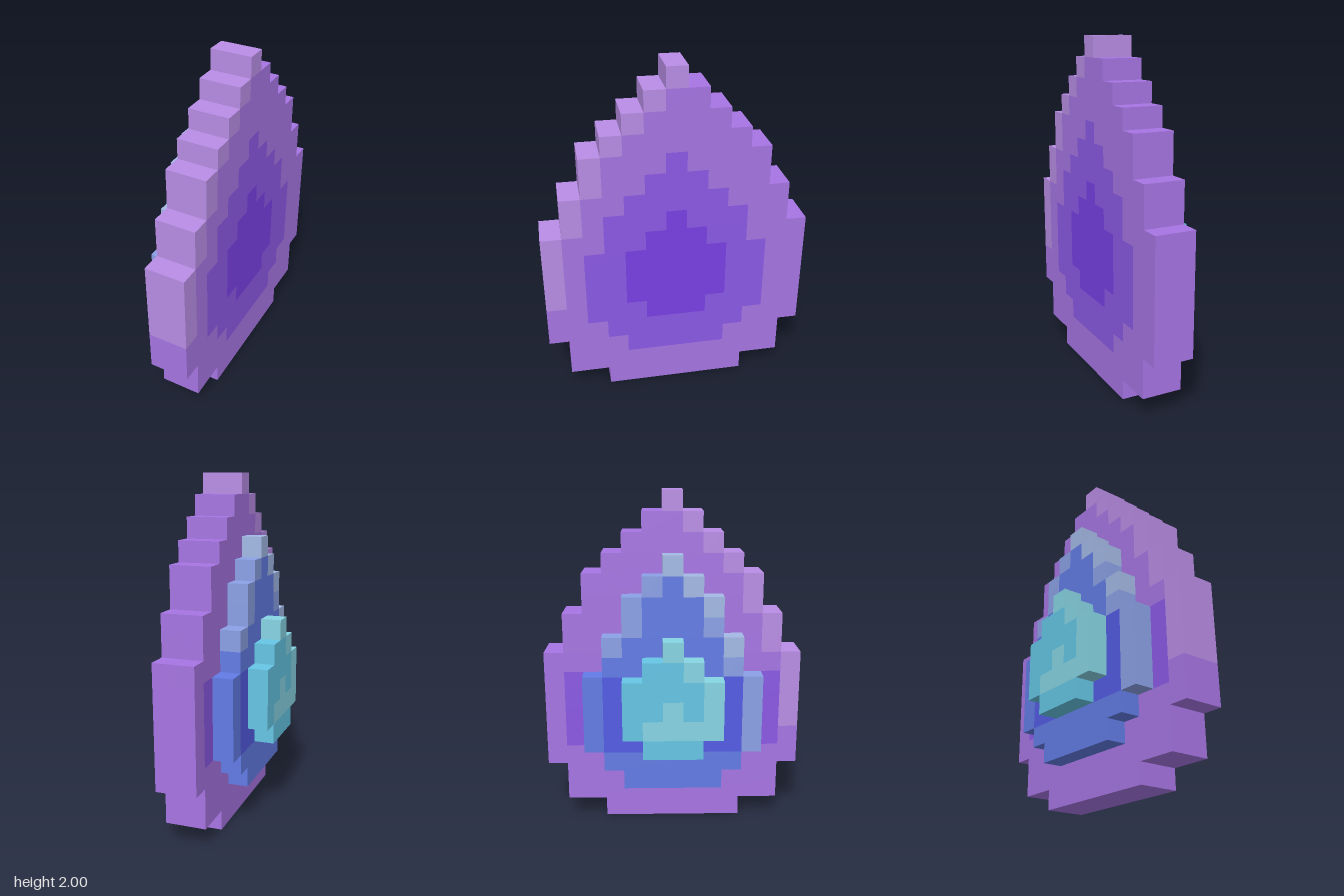
import * as THREE from 'three';
import { mergeGeometries } from 'three/addons/utils/BufferGeometryUtils.js';

const U = 2 / 17; // size of one block

const COLORS = {
  paleViolet: 0xb98de6, violet: 0xa775e4, deepViolet: 0x8c59e6, coreViolet: 0x7940e6,
  greyBlue: 0xa3b9e6, softBlue: 0x8ca2e8, blue: 0x627ce6, indigo: 0x535ce4,
  paleTeal: 0x87d5e4, teal: 0x65c6e6,
};

// Half width in blocks of each row, from the bottom up (-1 = empty row)
const BASE = [3, 5, 5, 6, 6, 6, 6, 6, 6, 5, 5, 4, 4, 3, 2, 1, 0];
const MIDDLE = [-1, -1, 2, 3, 4, 4, 4, 4, 3, 3, 2, 2, 1, 0];
const TOP = [-1, -1, -1, -1, 1, 2, 2, 2, 1, 0];
const STAIN = [-1, -1, 2, 3, 4, 4, 4, 4, 3, 3, 2, 1, 0];

const inside = (rows, y, z) => Math.abs(z) <= (rows[y] ?? -1);

// Colour rules for each layer
function outerBase(y, z) {
  if (z === BASE[y] && y >= 5) return 'paleViolet';
  if (inside(TOP, y, z)) return 'coreViolet';
  return inside(STAIN, y, z) ? 'deepViolet' : 'violet';
}

function innerBase(y, z) {
  if (z === BASE[y] && y >= 5) return 'paleViolet';
  return y >= 4 && y <= 7 && Math.abs(z) <= 5 ? 'deepViolet' : 'violet';
}

function middle(y, z) {
  const rim = Math.abs(z) === MIDDLE[y];
  const step = !inside(MIDDLE, y + 1, z);
  if (rim && z >= 0 && y >= 4) return step && y > 7 ? 'greyBlue' : 'softBlue';
  if (rim && y >= 9) return 'softBlue';
  return y >= 4 && y <= 7 && Math.abs(z) <= 3 ? 'indigo' : 'blue';
}

function top(y, z) {
  if (z === TOP[y] && y >= 5) return 'paleTeal';
  return (y === 5 && Math.abs(z) <= 1) || (y === 6 && z === 0) ? 'paleTeal' : 'teal';
}

// Stack one layer from row-long bars, one bar for each run of equal colour
function buildLayer(name, rows, x0, colorAt, materials) {
  const bars = {};
  rows.forEach((half, y) => {
    let start = -half;
    for (let z = -half; z <= half; z++) {
      const color = colorAt(y, z);
      if (z < half && colorAt(y, z + 1) === color) continue;
      const bar = new THREE.BoxGeometry(U, U, (z - start + 1) * U);
      bar.translate((x0 + 0.5) * U, (y + 0.5) * U, ((start + z) / 2) * U);
      (bars[color] ??= []).push(bar);
      start = z + 1;
    }
  });
  const layer = new THREE.Group();
  layer.name = name;
  for (const [color, list] of Object.entries(bars)) {
    const mesh = new THREE.Mesh(mergeGeometries(list), materials[color]);
    mesh.name = `${name} ${color}`;
    layer.add(mesh);
  }
  return layer;
}

export function createModel() {
  const materials = {};
  for (const [name, color] of Object.entries(COLORS)) {
    materials[name] = new THREE.MeshStandardMaterial({ color });
    materials[name].name = name;
  }
  const model = new THREE.Group();
  model.name = 'steppedDrop';
  model.add(
    buildLayer('outerBaseLayer', BASE, 1, outerBase, materials),
    buildLayer('innerBaseLayer', BASE, 0, innerBase, materials),
    buildLayer('middleLayer', MIDDLE, -1, middle, materials),
    buildLayer('topLayer', TOP, -2, top, materials),
  );
  return model;
}
